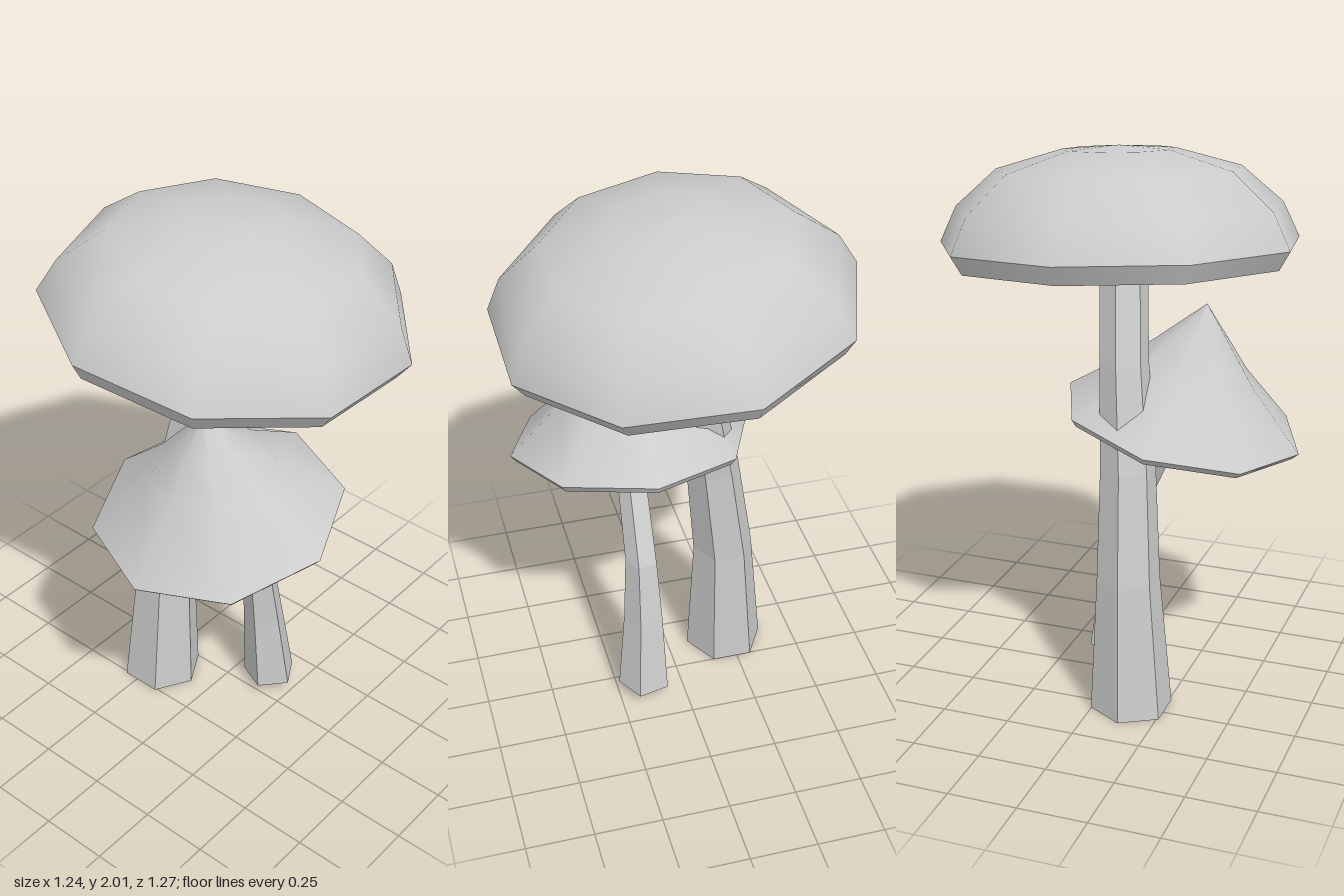
import * as THREE from 'three';

const grey = new THREE.MeshStandardMaterial({ color: 0xcccccc, side: THREE.DoubleSide });
grey.name = 'pale grey';

const pts = (list) => list.map(([r, h]) => new THREE.Vector2(r, h));

// Cap made of separate lathed strips, so the rim edges stay sharp
function makeCap(name, strips, sides, phi, position, normal) {
  const cap = new THREE.Group();
  cap.name = name;
  for (const [part, profile] of Object.entries(strips)) {
    const mesh = new THREE.Mesh(new THREE.LatheGeometry(pts(profile), sides, phi), grey);
    mesh.name = name + part;
    cap.add(mesh);
  }
  cap.position.set(...position);
  cap.quaternion.setFromUnitVectors(new THREE.Vector3(0, 1, 0), new THREE.Vector3(...normal).normalize());
  return cap;
}

// Bent, faceted, open-ended stem; each ring is [x, y, z, radius]
function makeStem(name, rings, sides, turn) {
  const pos = [], index = [];
  rings.forEach(([x, y, z, r], i) => {
    for (let k = 0; k < sides; k++) {
      const a = turn + (k / sides) * Math.PI * 2;
      pos.push(x + r * Math.cos(a), y, z + r * Math.sin(a));
      if (i === rings.length - 1) continue;
      const p = i * sides + k, q = i * sides + (k + 1) % sides;
      index.push(p, p + sides, q, q, p + sides, q + sides);
    }
  });
  const indexed = new THREE.BufferGeometry();
  indexed.setAttribute('position', new THREE.Float32BufferAttribute(pos, 3));
  indexed.setIndex(index);
  const geometry = indexed.toNonIndexed();
  geometry.computeVertexNormals();
  const mesh = new THREE.Mesh(geometry, grey);
  mesh.name = name;
  return mesh;
}

export function createModel() {
  const model = new THREE.Group();
  model.name = 'mushrooms';

  // Tall mushroom: domed nine-sided cap, tilted to its left
  model.add(makeCap('largeCap', {
    Underside: [[0.09, 0.05], [0.1, -0.015], [0.605, -0.06]],
    Rim: [[0.605, -0.065], [0.645, 0]],
    Dome: [[0.645, 0], [0.585, 0.125], [0.435, 0.255], [0.2, 0.322], [0, 0.335]],
  }, 9, -Math.PI / 2, [0, 1.67, 0], [0.109, 1, -0.055]));
  model.add(makeStem('largeStem', [
    [-0.23, 0, 0.128, 0.15],
    [-0.215, 0.5, 0.11, 0.115],
    [-0.165, 0.9, 0.09, 0.1],
    [-0.1, 1.27, 0.052, 0.088],
    [0.012, 1.68, 0.01, 0.085],
  ], 6, 0));

  // Short mushroom: pointed eight-sided cap, tipped forward
  model.add(makeCap('smallCap', {
    Underside: [[0.06, 0.08], [0.065, 0.035], [0.425, -0.022]],
    Rim: [[0.425, -0.025], [0.445, 0]],
    Cone: [[0.445, 0], [0.225, 0.195], [0.11, 0.325], [0, 0.448]],
  }, 8, 0, [0.122, 1.005, 0.198], [0, 1, 0.195]));
  model.add(makeStem('smallStem', [
    [0.147, 0.045, -0.08, 0.1],
    [0.137, 0.36, -0.05, 0.077],
    [0.135, 0.6, -0.017, 0.062],
    [0.134, 0.8, 0.075, 0.058],
    [0.132, 1.06, 0.205, 0.055],
  ], 5, THREE.MathUtils.degToRad(6)));

  return model;
}
